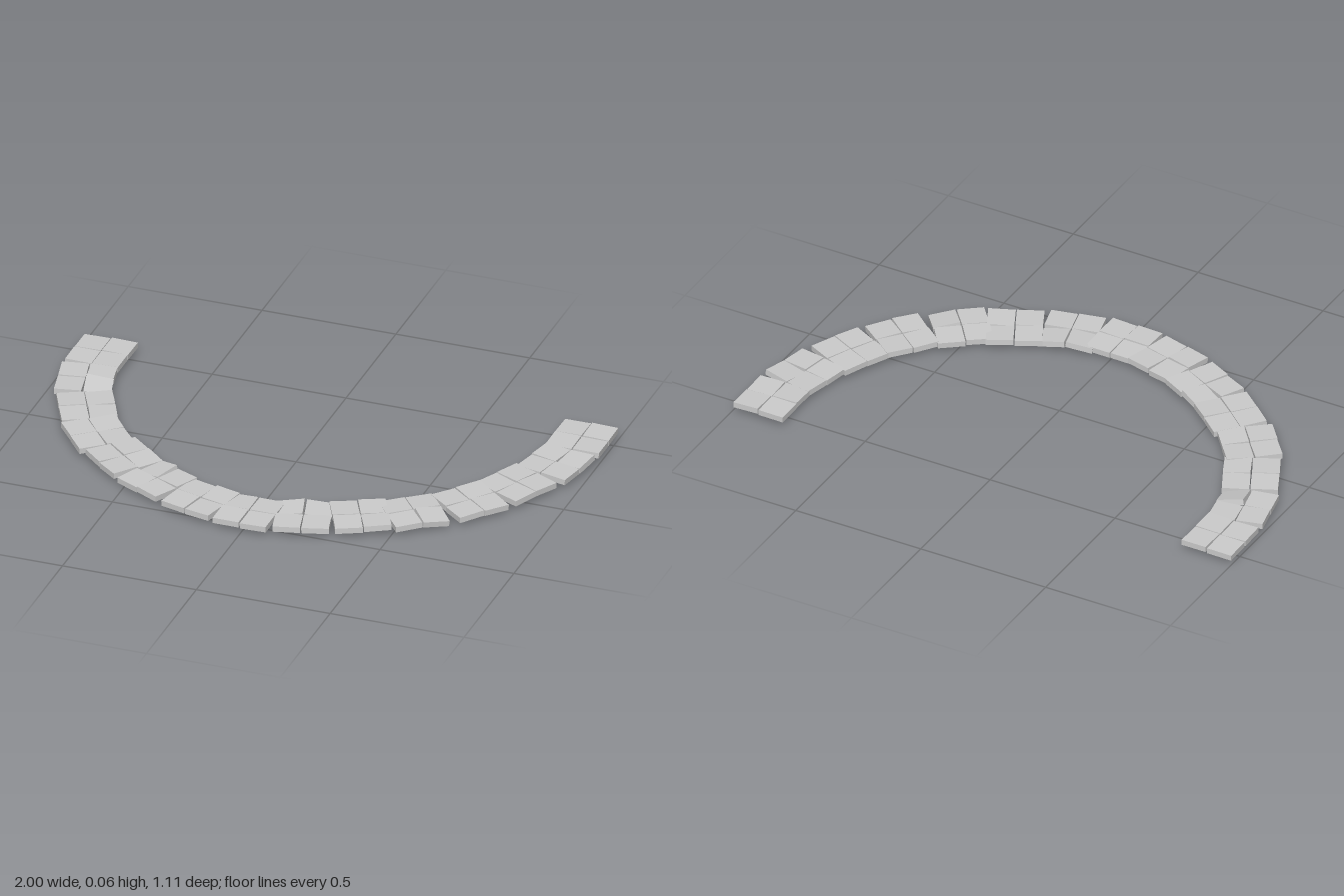
import * as THREE from 'three';

const TILE = 0.097, THICK = 0.021, PITCH = 0.101, BASE = 0.03;

// Paving blocks of 2 x 2 tiles along the arc: x, z, heading in degrees
const BLOCKS = [
  [-0.899, -0.46, 0], [-0.882, -0.26, 12], [-0.807, -0.07, 26], [-0.706, 0.1, 39], [-0.556, 0.232, 50],
  [-0.39, 0.345, 63], [-0.198, 0.425, 76], [-0.006, 0.454, 90], [0.184, 0.42, 105], [0.369, 0.345, 117],
  [0.534, 0.254, 129], [0.69, 0.11, 142], [0.799, -0.064, 155], [0.874, -0.257, 168], [0.896, -0.46, 180],
];

// Noticeably settled tiles, keyed block-row-column: pitch, roll
const SETTLED = {
  '1-1-1': [0.2, -0.19],
  '5-0-1': [-0.16, 0.12],
  '8-0-1': [-0.14, 0.06],
  '8-1-1': [0.12, 0.06],
  '13-1-0': [-0.1, -0.08],
  '10-1-0': [0.12, 0.1],
};

function seeded(seed) {
  return () => {
    seed = (seed * 16807) % 2147483647;
    return seed / 2147483647 - 0.5;
  };
}

export function createModel() {
  const model = new THREE.Group();
  model.name = 'curvedTilePath';
  const material = new THREE.MeshStandardMaterial({ color: 0xcccccc, flatShading: true });
  const slab = new THREE.BoxGeometry(TILE, THICK, TILE);
  const rand = seeded(71);

  BLOCKS.forEach(([x, z, heading], i) => {
    const block = new THREE.Group();
    block.name = 'pavingBlock' + (i + 1);
    block.position.set(x, BASE, z);
    block.rotation.y = THREE.MathUtils.degToRad(heading);

    // column 0 lies on the outer edge, column 1 on the inner edge
    for (let row = 0; row < 2; row++) {
      for (let col = 0; col < 2; col++) {
        const tile = new THREE.Mesh(slab, material);
        tile.name = col ? 'innerTile' : 'outerTile';
        tile.position.set((col - 0.5) * PITCH, rand() * 0.003, (row - 0.5) * PITCH);
        const [pitch, roll] = SETTLED[`${i}-${row}-${col}`] ?? [rand() * 0.08, rand() * 0.08];
        tile.rotation.set(pitch, rand() * 0.05, roll);
        block.add(tile);
      }
    }
    model.add(block);
  });

  // Rest the lowest corner on the ground
  model.updateMatrixWorld(true);
  const lowest = new THREE.Box3().setFromObject(model, true).min.y;
  model.children.forEach((block) => { block.position.y -= lowest; });
  return model;
}
